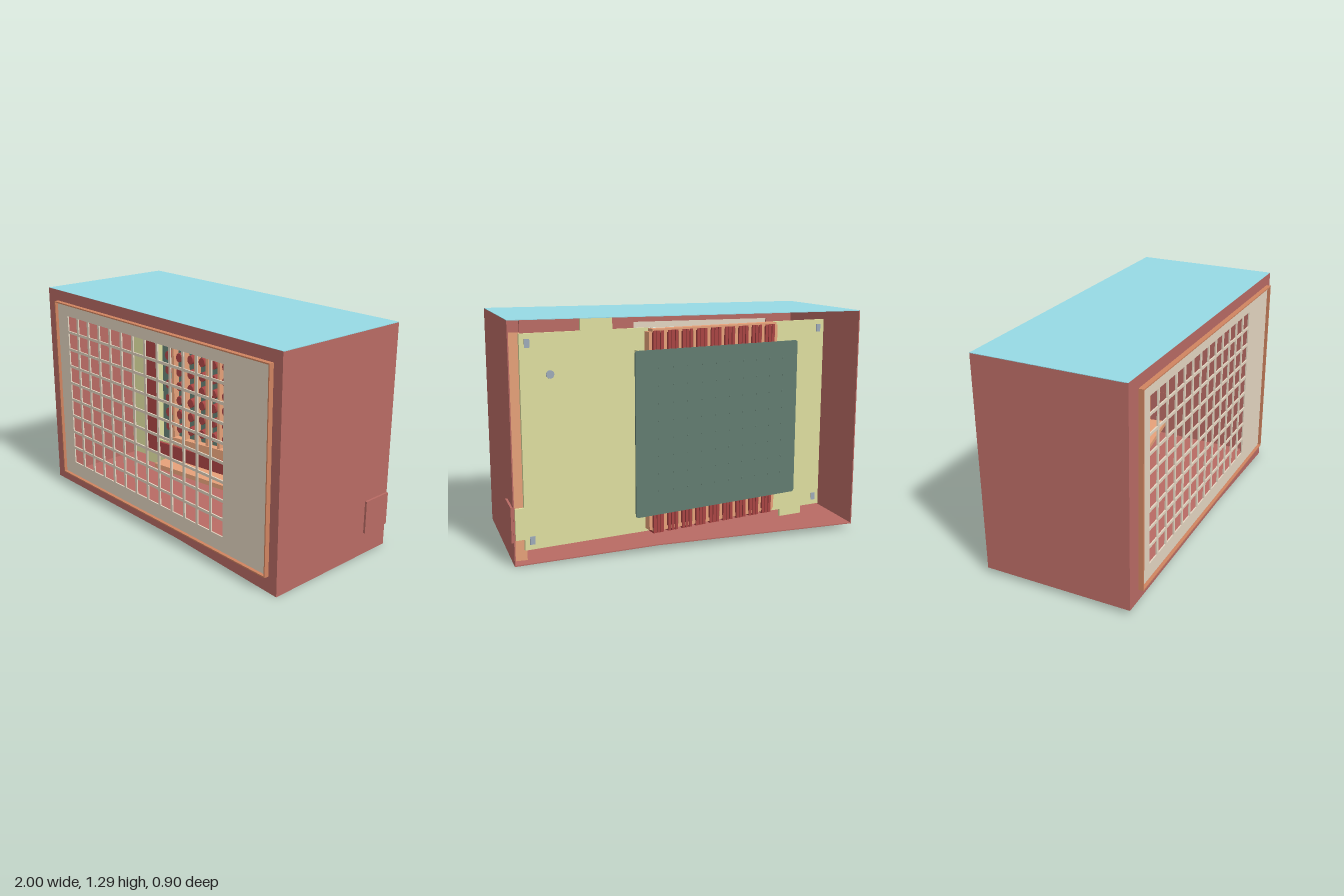
import * as THREE from 'three';

const mat = (name, color) => {
  const m = new THREE.MeshStandardMaterial({ color });
  m.name = name;
  return m;
};

// Rectangle outline, used for shapes and for holes
function rect(target, x0, y0, x1, y1) {
  target.moveTo(x0, y0);
  target.lineTo(x1, y0);
  target.lineTo(x1, y1);
  target.lineTo(x0, y1);
  target.closePath();
  return target;
}

export function createModel() {
  const model = new THREE.Group();
  model.name = 'ventilatedCabinet';
  const red = mat('cabinet red', 0xb96b64);
  const teal = mat('top teal', 0x97dae5);
  const beige = mat('grille beige', 0xe4d6c2);
  const rimOrange = mat('rim orange', 0xd08460);
  const orange = mat('frame orange', 0xeca57c);
  const darkRed = mat('fin dark red', 0xa84443);
  const olive = mat('plate olive', 0xdede9f);
  const green = mat('board green', 0x627c70);
  const blue = mat('fastener blue grey', 0x9daab8);

  function add(parent, name, geometry, material) {
    const mesh = new THREE.Mesh(geometry, material);
    mesh.name = name;
    parent.add(mesh);
    return mesh;
  }
  // Box given by its two opposite corners
  function box(parent, name, material, x0, x1, y0, y1, z0, z1) {
    const g = new THREE.BoxGeometry(x1 - x0, y1 - y0, z1 - z0);
    g.translate((x0 + x1) / 2, (y0 + y1) / 2, (z0 + z1) / 2);
    return add(parent, name, g, material);
  }
  // Flat shape extruded from z0 to z1
  function slab(parent, name, material, shape, z0, z1) {
    const g = new THREE.ExtrudeGeometry(shape, { depth: z1 - z0, bevelEnabled: false, curveSegments: 6 });
    g.translate(0, 0, z0);
    return add(parent, name, g, material);
  }
  const poly = (pts) => new THREE.Shape(pts.map(([x, y]) => new THREE.Vector2(x, y)));
  function turnedGroup(name, x, z, angle) {
    const g = new THREE.Group();
    g.name = name;
    g.position.set(x, 0, z);
    g.rotation.y = angle;
    model.add(g);
    return g;
  }

  // Cabinet shell: side walls and a floor that drops towards one end
  const t = 0.006;
  const w = 0.988;
  slab(model, 'cabinetWalls', red, poly([
    [-1, 0.03], [0.2, 0.03], [w, 0], [w, 1.284], [w - t, 1.284],
    [w - t, t], [0.2, 0.03 + t], [-1 + t, 0.03 + t], [-1 + t, 1.284], [-1, 1.284],
  ]), -0.448, 0.42);
  box(model, 'cabinetTop', teal, -1, w, 1.283, 1.286, -0.448, 0.419);
  box(model, 'ceilingPanel', red, -0.8, 0.35, 1.276, 1.283, -0.3, 0.405);

  // Front wall with a large opening
  const front = poly([[-1, 0.03], [0.2, 0.03], [w, 0], [w, 1.285], [-1, 1.285]]);
  front.holes.push(rect(new THREE.Path(), -0.82, 0.15, 0.63, 1.18));
  slab(model, 'frontWall', red, front, 0.405, 0.42);

  // Raised rim around the recessed grille
  const rim = rect(new THREE.Shape(), -0.9, 0.095, 0.93, 1.22);
  rim.holes.push(rect(new THREE.Path(), -0.893, 0.102, 0.923, 1.213));
  slab(model, 'grilleRim', rimOrange, rim, 0.42, 0.448);

  // Grille: 13 by 9 square openings
  const grille = rect(new THREE.Shape(), -0.893, 0.102, 0.923, 1.213);
  for (let i = 0; i < 13; i++) {
    for (let j = 0; j < 9; j++) {
      const x = -0.745 + i * 0.108;
      const y = 0.236 + j * 0.1075;
      grille.holes.push(rect(new THREE.Path(), x - 0.046, y - 0.046, x + 0.046, y + 0.046));
    }
  }
  slab(model, 'grille', beige, grille, 0.421, 0.429);

  // Slightly turned mounting plate seen through the open back
  const rear = turnedGroup('plateAssembly', 0, -0.29, 0.15);

  // Two plate pieces with a stepped window between them and tabs at top, side and bottom
  slab(rear, 'mountingPlateLeft', olive, poly([
    [0.22, 0.08], [0.94, 0.08], [0.94, 0.14], [0.99, 0.14], [0.99, 0.31], [0.94, 0.31],
    [0.94, 1.215], [0.61, 1.215], [0.61, 1.282], [0.43, 1.282], [0.43, 1.215], [0.22, 1.215],
    [0.22, 1.08], [0.3, 1.08], [0.3, 0.22], [0.22, 0.22],
  ]), -0.008, 0.008);
  slab(rear, 'mountingPlateRight', olive, poly([
    [-0.94, 0.08], [-0.81, 0.08], [-0.81, 0.001], [-0.66, 0.001], [-0.66, 0.08],
    [-0.59, 0.08], [-0.59, 0.22], [-0.7, 0.22], [-0.7, 1.08], [-0.59, 1.08],
    [-0.59, 1.215], [-0.94, 1.215],
  ]), -0.008, 0.008);

  // Spacers closing the gap between plate and board
  box(rear, 'spacerLeft', olive, 0.292, 0.302, 0.2, 1.1, -0.095, 0);
  box(rear, 'spacerRight', olive, -0.712, -0.702, 0.22, 1.08, -0.045, 0);

  // Red lintel above the plate, orange post and shelf behind it
  box(rear, 'lintel', red, 0.3, 0.93, 1.2, 1.28, 0.01, 0.02);
  box(model, 'sidePost', orange, 0.915, 0.982, 0.02, 1.22, -0.418, -0.41);
  box(rear, 'shelf', orange, -0.6, 0.93, 0.09, 0.12, 0.01, 0.16);

  // Dark red frame in front of the plate
  box(rear, 'frameSideRight', darkRed, -0.81, -0.69, 0.12, 1.19, 0.01, 0.028);
  box(rear, 'frameSideLeft', darkRed, 0.29, 0.39, 0.12, 1.19, 0.01, 0.028);
  box(rear, 'frameBottom', darkRed, -0.69, 0.29, 0.12, 0.21, 0.01, 0.028);
  box(rear, 'frameTop', darkRed, -0.69, 0.29, 1.095, 1.19, 0.01, 0.028);
  box(rear, 'sideBlock', darkRed, 0.5, 0.75, 0.5, 0.82, 0.008, 0.08);

  // Fasteners on the back of the plate
  for (const x of [-0.9, 0.9]) {
    for (const y of [0.13, 1.165]) {
      box(rear, 'cornerFastener', blue, x - 0.014, x + 0.014, y - 0.022, y + 0.022, -0.012, -0.008);
    }
  }
  const button = new THREE.CylinderGeometry(0.022, 0.022, 0.005, 16).rotateX(Math.PI / 2);
  add(rear, 'roundFastener', button, blue).position.set(0.78, 1.0, -0.01);

  // Circuit board with rounded corners, turned a little further
  const core = turnedGroup('boardAssembly', -0.2, -0.333, 0.2);
  const [bx, by0, by1, r] = [0.535, 0.195, 1.105, 0.015];
  const board = new THREE.Shape();
  board.absarc(-bx + r, by0 + r, r, Math.PI, Math.PI * 1.5);
  board.absarc(bx - r, by0 + r, r, Math.PI * 1.5, Math.PI * 2);
  board.absarc(bx - r, by1 - r, r, 0, Math.PI / 2);
  board.absarc(-bx + r, by1 - r, r, Math.PI / 2, Math.PI);
  board.closePath();
  slab(core, 'board', green, board, -0.004, 0.004);

  // Orange end bars and upright fins
  const pitch = 0.0915;
  box(core, 'endBarBottom', orange, -0.385, 0.425, 0.2, 0.265, 0.02, 0.065);
  box(core, 'endBarTop', orange, -0.385, 0.425, 1.05, 1.1, 0.02, 0.065);
  box(core, 'outerBarBottom', orange, -0.385, 0.425, 0.1, 0.12, 0.006, 0.055);
  box(core, 'outerBarTop', orange, -0.385, 0.425, 1.195, 1.215, 0.006, 0.055);
  for (let i = 0; i < 10; i++) {
    const x = -0.385 + i * pitch;
    box(core, 'orangeFin', orange, x - 0.009, x + 0.009, 0.11, 1.2, 0.006, 0.055);
    for (let k = 1; k < 4 && i < 9; k++) {
      const fx = x + (k * pitch) / 4;
      box(core, 'redFinBottom', darkRed, fx - 0.009, fx + 0.009, 0.09, 0.2, 0, 0.054);
      box(core, 'redFinTop', darkRed, fx - 0.009, fx + 0.009, 1.1, 1.205, 0, 0.054);
    }
  }

  // Oval red knobs on the board with their pin ends at the back
  const knob = new THREE.CylinderGeometry(0.022, 0.022, 0.045, 14).rotateX(Math.PI / 2).scale(1, 1.35, 1);
  const pin = new THREE.CylinderGeometry(0.006, 0.006, 0.005, 8).rotateX(Math.PI / 2);
  for (let i = 0; i < 10; i++) {
    for (let j = 0; j < 8; j++) {
      const x = -0.432 + i * pitch;
      const y = 0.33 + j * 0.097;
      add(core, 'knob', knob, darkRed).position.set(x, y, 0.026);
      add(core, 'pinEnd', pin, green).position.set(x, y, -0.006);
    }
  }

  // Cover block where the side tab passes the shell
  box(model, 'sideCover', red, 0.98, 1, 0.13, 0.32, -0.445, -0.26);

  return model;
}
